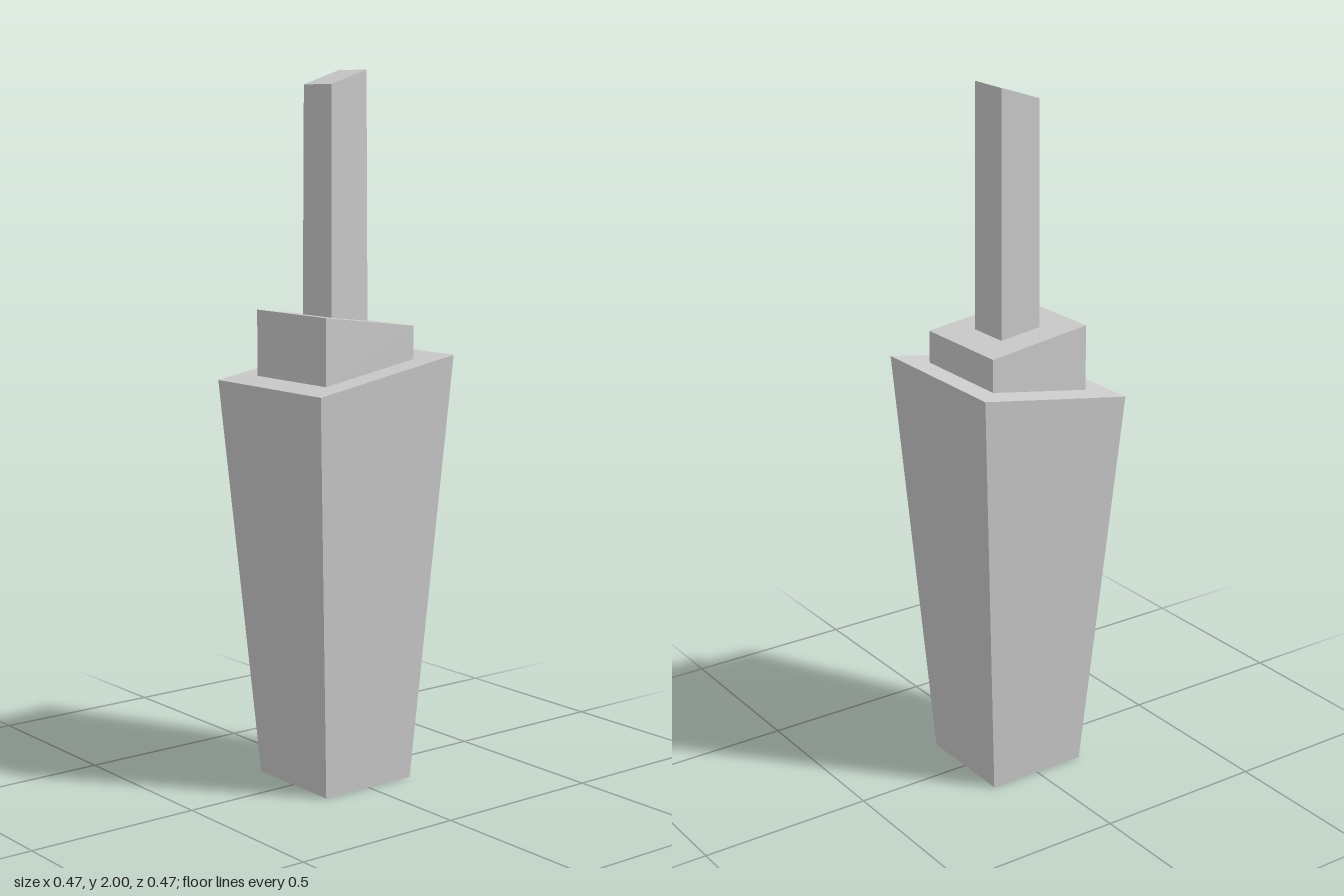
import * as THREE from 'three';

const material = new THREE.MeshStandardMaterial({ color: 0xcccccc, flatShading: true });

// Square tapered block; each end has a half width and its heights at -x and +x
function slantedBlock(name, bottom, top) {
  const geometry = new THREE.BoxGeometry(2, 2, 2);
  const p = geometry.attributes.position;
  for (let i = 0; i < p.count; i++) {
    const end = p.getY(i) > 0 ? top : bottom;
    const y = p.getX(i) > 0 ? end.right : end.left;
    p.setXYZ(i, p.getX(i) * end.half, y, p.getZ(i) * end.half);
  }
  geometry.computeVertexNormals();
  const mesh = new THREE.Mesh(geometry, material);
  mesh.name = name;
  return mesh;
}

export function createModel() {
  const model = new THREE.Group();
  model.name = 'steppedTower';
  model.add(
    // Main shaft, widening upwards to a roof that rises towards +x
    slantedBlock('mainShaft',
      { half: 0.152, left: 0, right: 0 },
      { half: 0.234, left: 1.14, right: 1.22 }),
    // Middle step, seated on the sloping roof and tilted the other way
    slantedBlock('middleStep',
      { half: 0.155, left: 1.153, right: 1.207 },
      { half: 0.155, left: 1.34, right: 1.30 }),
    // Slim spire with a slanted tip
    slantedBlock('spire',
      { half: 0.064, left: 1.328, right: 1.312 },
      { half: 0.061, left: 1.96, right: 2 }),
  );
  return model;
}
